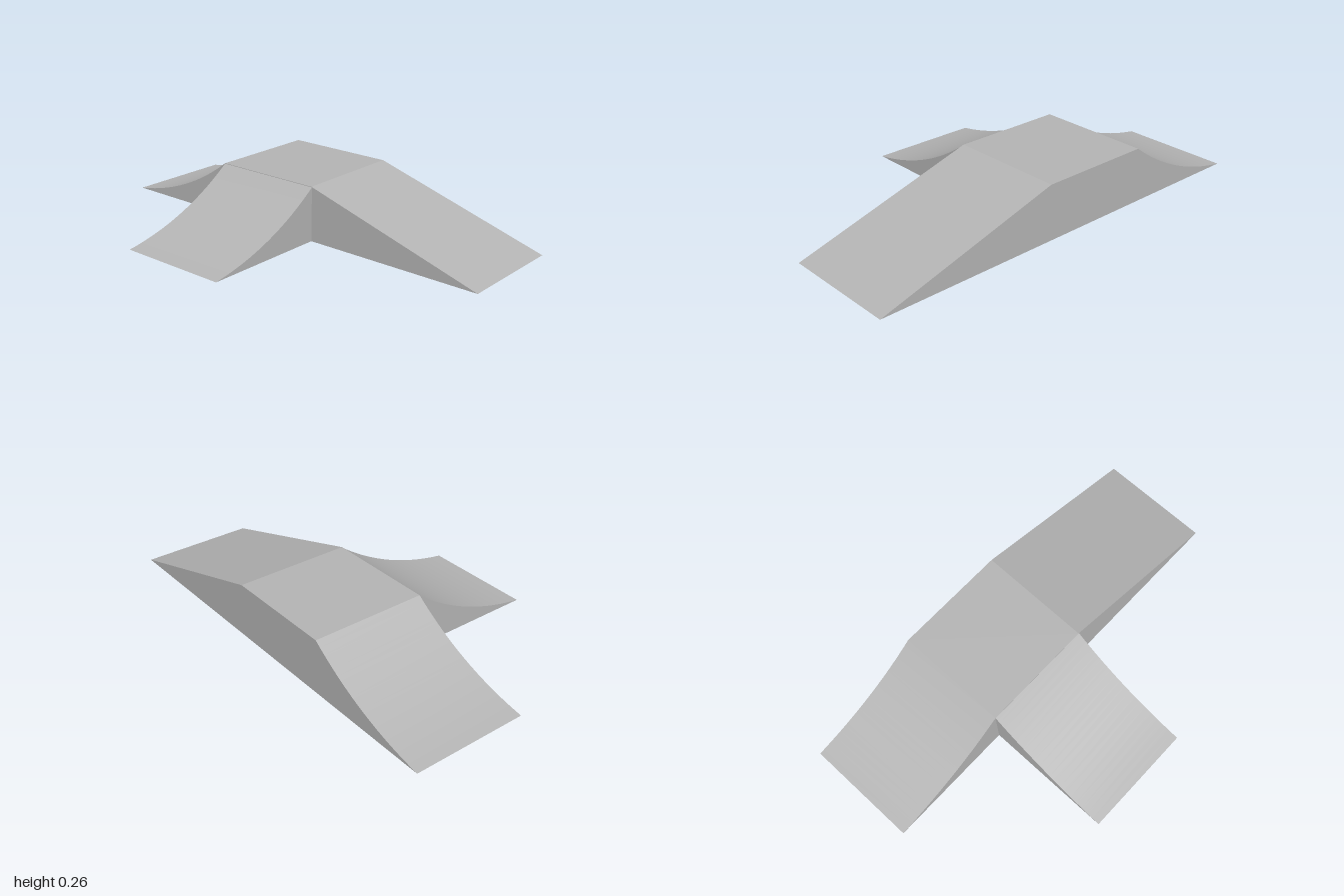
import * as THREE from 'three';
import { toCreasedNormals } from 'three/addons/utils/BufferGeometryUtils.js';

const HEIGHT = 0.257, RUN = 0.608, WIDTH = 0.535;

// Side profile starting with the concave ramp, then any further top points
function rampProfile(points) {
  const shape = new THREE.Shape();
  shape.moveTo(0, 0);
  shape.quadraticCurveTo(0.34, 0.051, RUN, HEIGHT);
  for (const [x, y] of points) shape.lineTo(x, y);
  shape.closePath();
  return shape;
}

function extrudeProfile(name, points, material) {
  const geometry = new THREE.ExtrudeGeometry(rampProfile(points), {
    depth: WIDTH, bevelEnabled: false, curveSegments: 20,
  });
  const mesh = new THREE.Mesh(toCreasedNormals(geometry, 0.2), material);
  mesh.name = name;
  return mesh;
}

export function createModel() {
  const group = new THREE.Group();
  group.name = 'skateRamp';
  const grey = new THREE.MeshStandardMaterial({ color: 0xb4b4b4 });
  grey.name = 'concrete grey';

  // Curved ramp, flat deck and straight bank in one run
  const main = extrudeProfile('mainRamp', [[1.14, HEIGHT], [2, 0]], grey);
  main.position.set(-1, 0, -0.57);
  group.add(main);

  // Curved ramp reaching forward from the deck
  const front = extrudeProfile('frontRamp', [[RUN, 0]], grey);
  front.rotation.y = Math.PI / 2;
  front.position.set(-0.392, 0, 0.57);
  group.add(front);

  return group;
}
